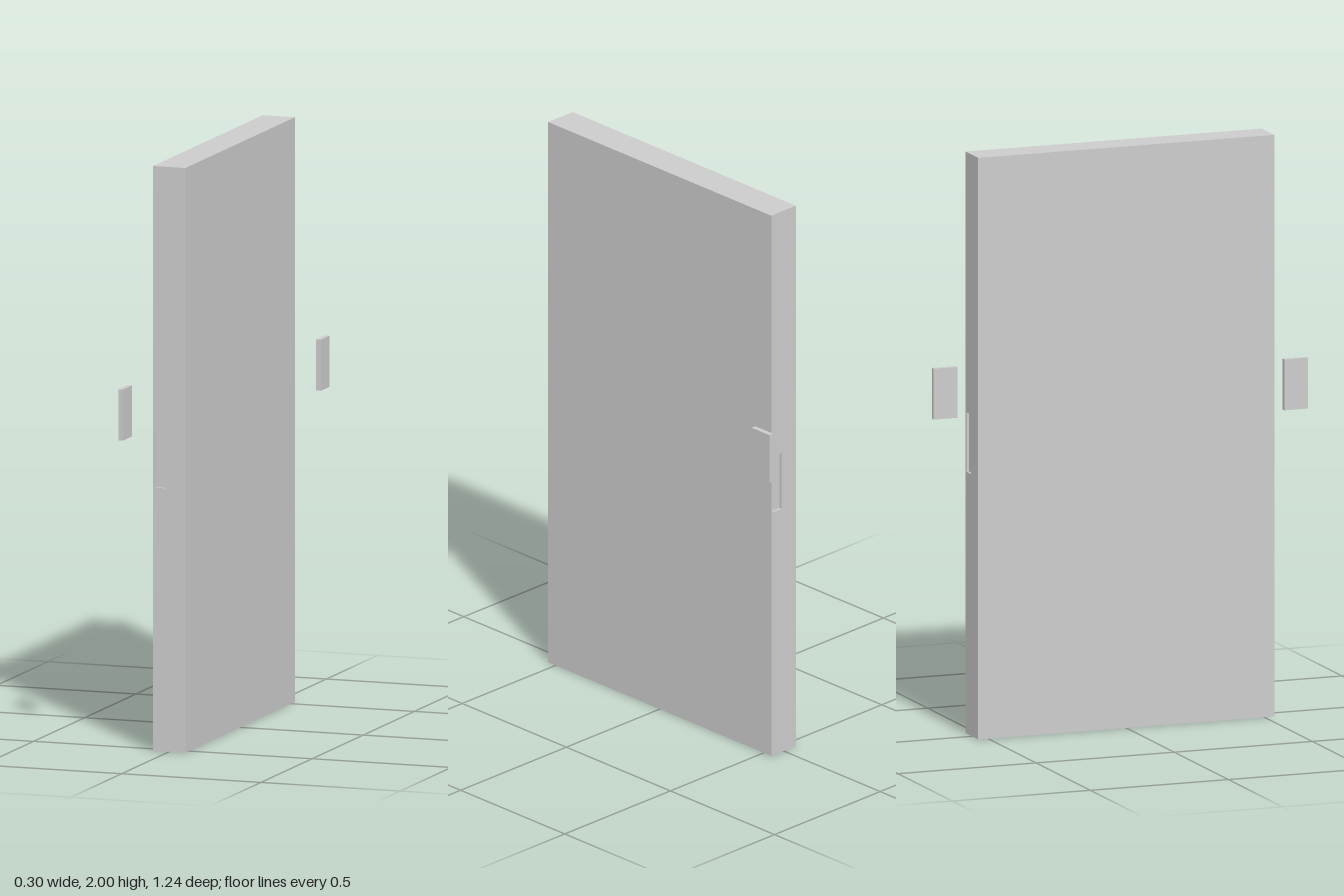
import * as THREE from 'three';

const W = 0.116, H = 2, HALF = 0.536, RECESS = 0.01;

function rect(PathType, x0, y0, x1, y1) {
  return new PathType([[x0, y0], [x1, y0], [x1, y1], [x0, y1]].map(([x, y]) => new THREE.Vector2(x, y)));
}

export function createModel() {
  const group = new THREE.Group();
  group.name = 'door';
  const material = new THREE.MeshStandardMaterial({ color: 0xcccccc, flatShading: true });

  const add = (parent, name, geometry, x = 0, y = 0, z = 0) => {
    const mesh = new THREE.Mesh(geometry, material);
    mesh.name = name;
    mesh.position.set(x, y, z);
    parent.add(mesh);
  };

  // Half of the slab, with a shallow latch recess in its narrow edge
  const outline = rect(THREE.Shape, -W / 2, 0, W / 2, H);
  outline.holes.push(rect(THREE.Path, -0.052, 0.9, -0.01, 1.105));
  const slab = new THREE.ExtrudeGeometry(outline, { depth: HALF, bevelEnabled: false });
  const latch = new THREE.BoxGeometry(0.042, 0.205, HALF - RECESS);
  const plate = new THREE.BoxGeometry(0.017, 0.175, 0.086);

  // The two halves repeat by a half turn about the vertical axis
  for (const [name, turn] of [['frontHalf', 0], ['backHalf', Math.PI]]) {
    const half = new THREE.Group();
    half.name = name;
    half.rotation.y = turn;
    add(half, 'doorPanel', slab);
    add(half, 'latchRecessFloor', latch, -0.031, 1.0025, (HALF - RECESS) / 2);
    add(half, 'handlePlate', plate, -0.1425, 1.1575, 0.579);
    group.add(half);
  }
  return group;
}
